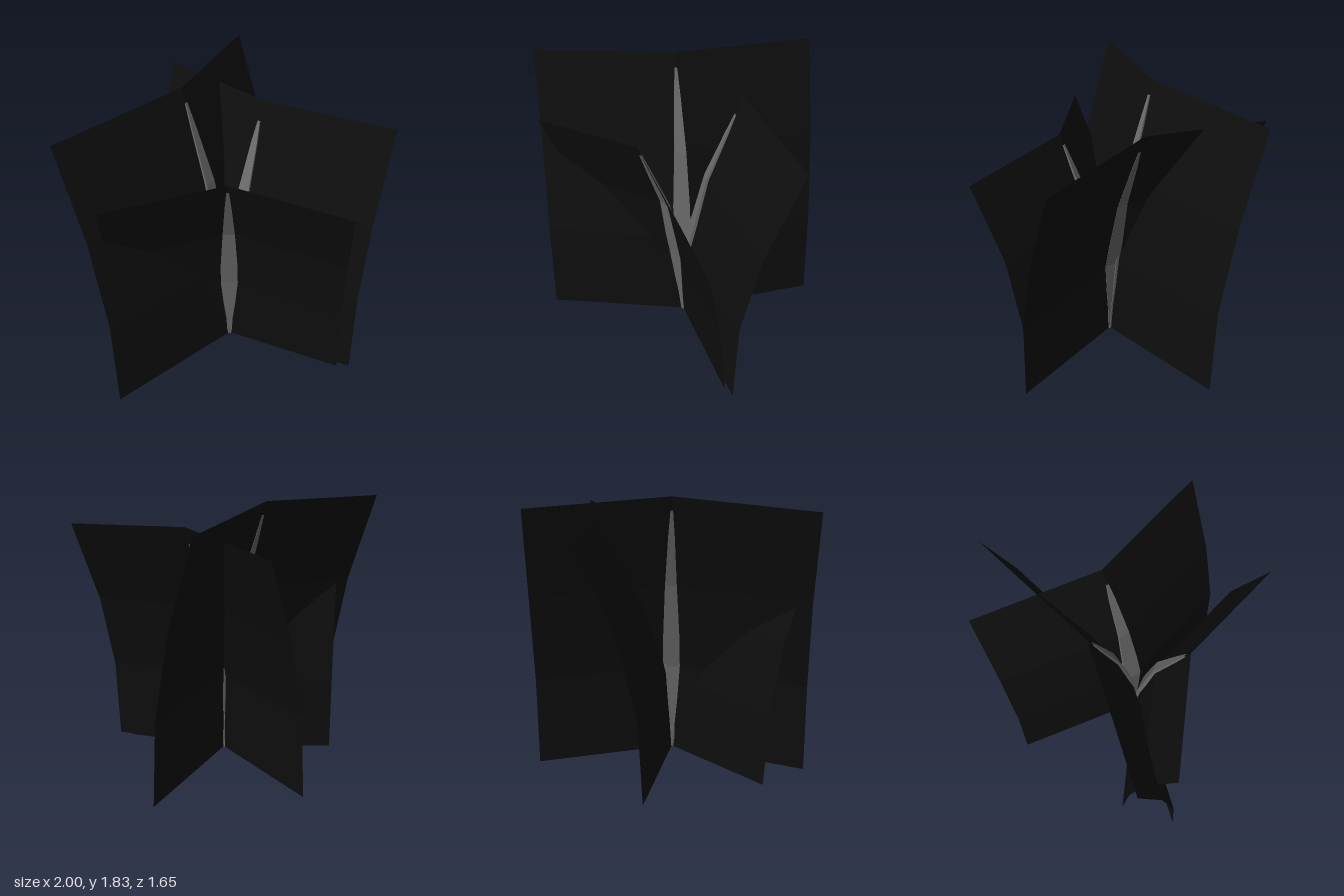
import * as THREE from 'three';

const V = (x, y, z) => new THREE.Vector3(x, y, z);

const cardBlack = new THREE.MeshStandardMaterial({ color: 0x0e0e0e, side: THREE.DoubleSide, flatShading: true });
cardBlack.name = 'cardBlack';
const bladeGrey = new THREE.MeshStandardMaterial({ color: 0x6a6a6a, side: THREE.DoubleSide, flatShading: true });
bladeGrey.name = 'bladeGrey';

// Skin a list of cross-sections, each a list of points
function loft(rows) {
  const pos = [];
  for (let i = 0; i + 1 < rows.length; i++) {
    for (let j = 0; j + 1 < rows[i].length; j++) {
      const a = rows[i][j], b = rows[i][j + 1], c = rows[i + 1][j + 1], d = rows[i + 1][j];
      for (const p of [a, b, c, a, c, d]) pos.push(p.x, p.y, p.z);
    }
  }
  const g = new THREE.BufferGeometry();
  g.setAttribute('position', new THREE.Float32BufferAttribute(pos, 3));
  g.computeVertexNormals();
  return g;
}

// Each leaf: a bent spine and two straight wings that fold outward from it
const base = V(0, 0.06, 0.21);
const leaves = [
  { name: 'tallLeaf', tip: 0.95, left: V(-0.72, -0.05, 0.55), right: V(0.38, -0.05, -0.82),
    spine: [base, V(-0.025, 0.65, 0.185), V(-0.12, 1.23, 0.105), V(-0.28, 1.83, -0.01)] },
  { name: 'middleLeaf', tip: 0.93, left: V(0.78, -0.05, 0.3), right: V(-0.55, -0.05, -0.62),
    spine: [base, V(0.02, 0.61, 0.185), V(0.09, 1.12, 0.08), V(0.22, 1.68, -0.11)] },
  { name: 'frontLeaf', tip: 0.955, left: V(0.7, -0.06, 0.29), right: V(-0.74, -0.055, 0.18),
    spine: [base, V(-0.003, 0.55, 0.25), V(-0.01, 1.0, 0.335), V(-0.025, 1.49, 0.535)] },
];

// Half-width of the narrow blade along the spine
const widths = [[0, 0.014], [0.1, 0.021], [0.2, 0.038], [1 / 3, 0.055], [0.45, 0.054], [2 / 3, 0.038], [0.85, 0.021], [1, 0.008]];

function spinePoint(spine, t) {
  const s = Math.min(t * 3, 2.9999), i = Math.floor(s);
  return spine[i].clone().lerp(spine[i + 1], s - i);
}

function makeLeaf({ name, spine, left, right, tip }) {
  const group = new THREE.Group();
  group.name = name;

  // Folded card
  const card = new THREE.Mesh(loft(spine.map(p => [p.clone().add(left), p, p.clone().add(right)])), cardBlack);
  card.name = name + 'Card';

  // Slim blade straddling the fold, showing on both sides of the card
  const across = left.clone().normalize().sub(right.clone().normalize()).setY(0).normalize();
  const out = left.clone().add(right).setY(0);
  out.addScaledVector(across, -out.dot(across)).normalize();
  const slope = Math.max(...[left, right].map(w => w.dot(out) / Math.abs(w.dot(across))));
  const rows = widths.map(([t, w]) => {
    const p = spinePoint(spine, t === 1 ? tip : t);
    const at = (s, d) => p.clone().addScaledVector(across, s * w).addScaledVector(out, d);
    const outer = slope * w + 0.003, inner = -0.006;
    return [at(-1, inner), at(1, inner), at(1, outer), at(-1, outer), at(-1, inner)];
  });
  const blade = new THREE.Mesh(loft(rows), bladeGrey);
  blade.name = name + 'Blade';

  group.add(card, blade);
  return group;
}

export function createModel() {
  const model = new THREE.Group();
  model.name = 'leafCluster';
  leaves.forEach(leaf => model.add(makeLeaf(leaf)));
  return model;
}
